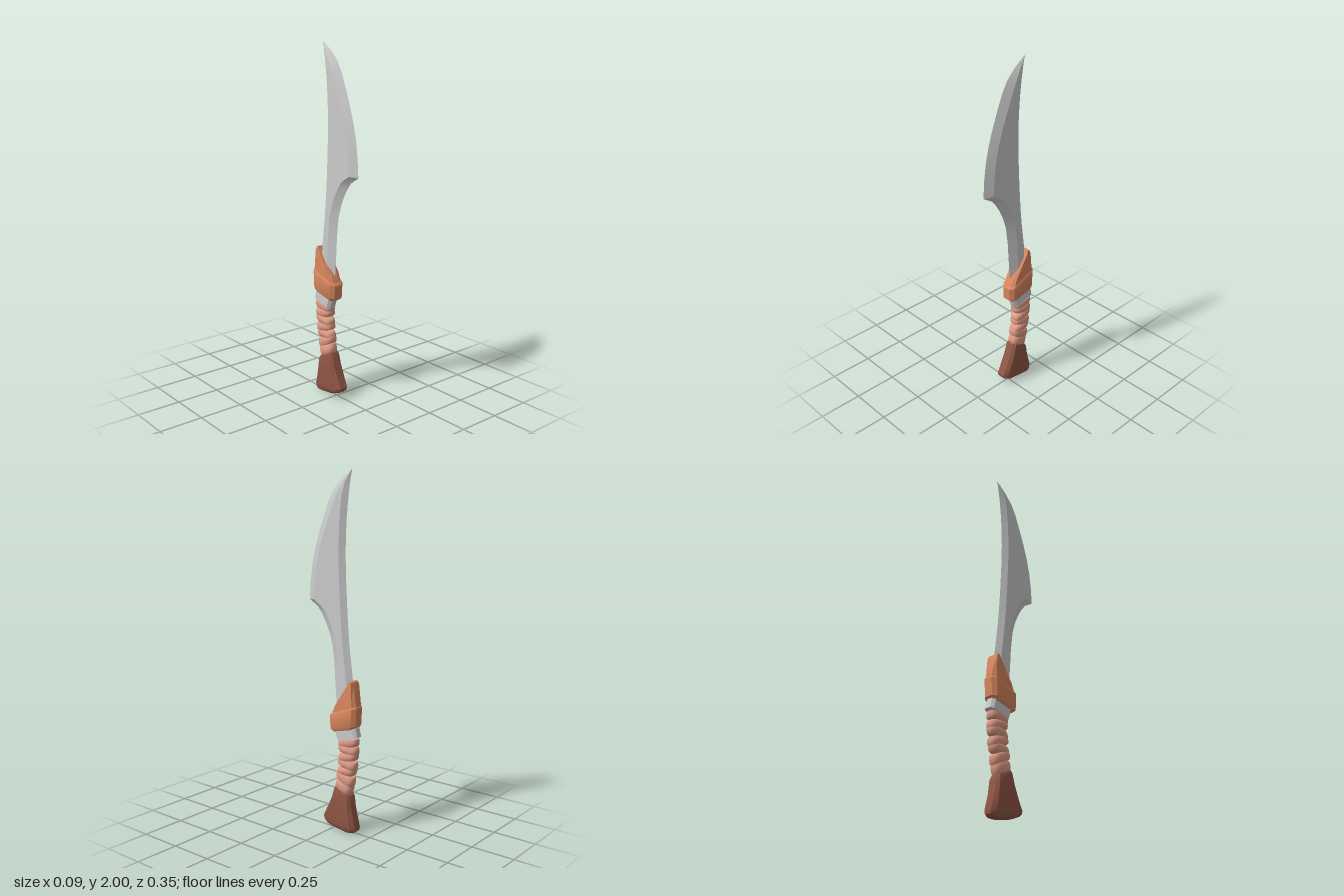
import * as THREE from 'three';
import { toCreasedNormals } from 'three/addons/utils/BufferGeometryUtils.js';

const paint = (color) => new THREE.MeshStandardMaterial({ color });
const STEEL = paint(0xcccccc);
const GUARD = paint(0xd9875f);
const WRAP = paint(0xdf9c87);
const WOOD = paint(0x8f5645);

// Cross-sections as [front-back, side] pairs in -1..1, going from +z to +x
const chamfered = () => [
  [1, -0.55], [1, 0.55], [0.78, 1], [-0.78, 1],
  [-1, 0.55], [-1, -0.55], [-0.78, -1], [0.78, -1],
];
const rounded = () => Array.from({ length: 20 }, (_, i) => {
  const a = (i / 20) * Math.PI * 2;
  const soft = (v) => Math.sign(v) * Math.pow(Math.abs(v), 0.7);
  return [soft(Math.cos(a)), soft(Math.sin(a))];
});
const bladeProfile = (half) => {
  const f = Math.max(0.15, 1 - 0.05 / half);
  const b = -Math.max(0.25, 1 - 0.03 / half);
  return [[1, 0], [f, 1], [b, 1], [-1, 0], [b, -1], [f, -1]];
};

// Skins sections listed bottom to top: [frontZ, frontY, backZ, backY, halfWidth]
function loft(name, sections, profile, material, crease = 0.5) {
  const pos = [], index = [];
  let n = 0;
  for (const [fz, fy, bz, by, w] of sections) {
    const ring = profile(Math.hypot(fz - bz, fy - by) / 2);
    n = ring.length;
    for (const [c, s] of ring) {
      pos.push(s * w, (fy + by) / 2 + c * (fy - by) / 2, (fz + bz) / 2 + c * (fz - bz) / 2);
    }
  }
  const last = (sections.length - 1) * n;
  for (let r = 0; r < last; r += n) {
    for (let i = 0; i < n; i++) {
      const j = (i + 1) % n;
      index.push(r + i, r + j, r + n + j, r + i, r + n + j, r + n + i);
    }
  }
  // end caps
  for (let i = 1; i < n - 1; i++) {
    index.push(0, i + 1, i, last, last + i, last + i + 1);
  }
  const geo = new THREE.BufferGeometry();
  geo.setAttribute('position', new THREE.Float32BufferAttribute(pos, 3));
  geo.setIndex(index);
  const mesh = new THREE.Mesh(toCreasedNormals(geo, crease), material);
  mesh.name = name;
  return mesh;
}

export function createModel() {
  const model = new THREE.Group();
  model.name = 'curvedSword';

  // Blade: bevelled on both edges, with a hooked belly and swept tip
  model.add(loft('blade', [
    [-0.025, 0.60, -0.145, 0.64, 0.024],
    [-0.015, 0.72, -0.137, 0.78, 0.024],
    [-0.005, 0.85, -0.127, 0.88, 0.024],
    [0.001, 0.95, -0.117, 0.96, 0.024],
    [0.015, 1.06, -0.105, 1.05, 0.024],
    [0.035, 1.125, -0.098, 1.12, 0.024],
    [0.060, 1.18, -0.093, 1.18, 0.024],
    [0.090, 1.23, -0.089, 1.24, 0.024],
    [0.120, 1.265, -0.086, 1.28, 0.024],
    [0.177, 1.30, -0.084, 1.32, 0.024],
    [0.170, 1.40, -0.079, 1.42, 0.024],
    [0.158, 1.49, -0.076, 1.50, 0.024],
    [0.137, 1.58, -0.075, 1.58, 0.024],
    [0.108, 1.67, -0.077, 1.66, 0.024],
    [0.073, 1.76, -0.081, 1.74, 0.024],
    [0.040, 1.84, -0.087, 1.81, 0.023],
    [0.005, 1.90, -0.094, 1.87, 0.021],
    [-0.045, 1.95, -0.102, 1.925, 0.015],
    [-0.085, 1.98, -0.109, 1.965, 0.008],
    [-0.114, 2.00, -0.117, 1.998, 0.001],
  ], bladeProfile, STEEL, 0.4));

  // Collar between guard and grip
  model.add(loft('collar', [
    [-0.040, 0.522, -0.173, 0.566, 0.032],
    [-0.012, 0.600, -0.152, 0.645, 0.032],
  ], chamfered, STEEL));

  // Guard: thick band, with a wedge rising along the spine
  const guard = new THREE.Group();
  guard.name = 'guard';
  guard.add(loft('guardBand', [
    [-0.008, 0.578, -0.150, 0.612, 0.037],
    [0.010, 0.592, -0.167, 0.632, 0.045],
    [0.013, 0.668, -0.172, 0.732, 0.046],
    [0.004, 0.680, -0.167, 0.742, 0.041],
  ], chamfered, GUARD));
  guard.add(loft('guardWedge', [
    [0.004, 0.672, -0.168, 0.735, 0.041],
    [-0.020, 0.725, -0.163, 0.775, 0.040],
    [-0.112, 0.855, -0.146, 0.852, 0.037],
    [-0.124, 0.876, -0.138, 0.872, 0.033],
  ], chamfered, GUARD));
  model.add(guard);

  // Grip: overlapping tilted wraps along a bent handle
  const grip = new THREE.Group();
  grip.name = 'grip';
  const curve = (pts) => new THREE.CatmullRomCurve3(pts.map(([z, y]) => new THREE.Vector3(0, y, z)));
  const front = curve([[-0.022, 0.255], [-0.031, 0.34], [-0.040, 0.40], [-0.044, 0.47], [-0.042, 0.535]]);
  const back = curve([[-0.118, 0.222], [-0.140, 0.32], [-0.153, 0.40], [-0.161, 0.48], [-0.162, 0.555]]);
  const wraps = 7;
  for (let k = 0; k < wraps; k++) {
    const tilt = k === 0 || k === wraps - 1 ? 0 : (k % 2 ? 0.012 : -0.008);
    const sections = [[0, -0.004], [0.2, 0.002], [0.6, 0.003], [0.95, 0], [1.12, -0.005]].map(([t, swell]) => {
      const u = Math.min(1, (k + t) / wraps);
      const f = front.getPoint(u), b = back.getPoint(u);
      return [f.z + swell, f.y + tilt, b.z - swell, b.y - tilt, 0.035 + swell];
    });
    grip.add(loft('gripWrap' + (k + 1), sections, rounded, WRAP, 0.7));
  }
  model.add(grip);

  // Pommel: flared foot with a rounded base
  model.add(loft('pommel', [
    [0.000, 0.020, -0.115, 0.004, 0.027],
    [0.040, 0.036, -0.148, 0.009, 0.036],
    [0.057, 0.050, -0.160, 0.020, 0.040],
    [0.062, 0.068, -0.164, 0.038, 0.042],
    [0.035, 0.120, -0.148, 0.100, 0.041],
    [0.004, 0.185, -0.136, 0.150, 0.040],
    [-0.016, 0.250, -0.128, 0.200, 0.038],
    [-0.028, 0.266, -0.118, 0.222, 0.031],
  ], chamfered, WOOD));

  return model;
}
